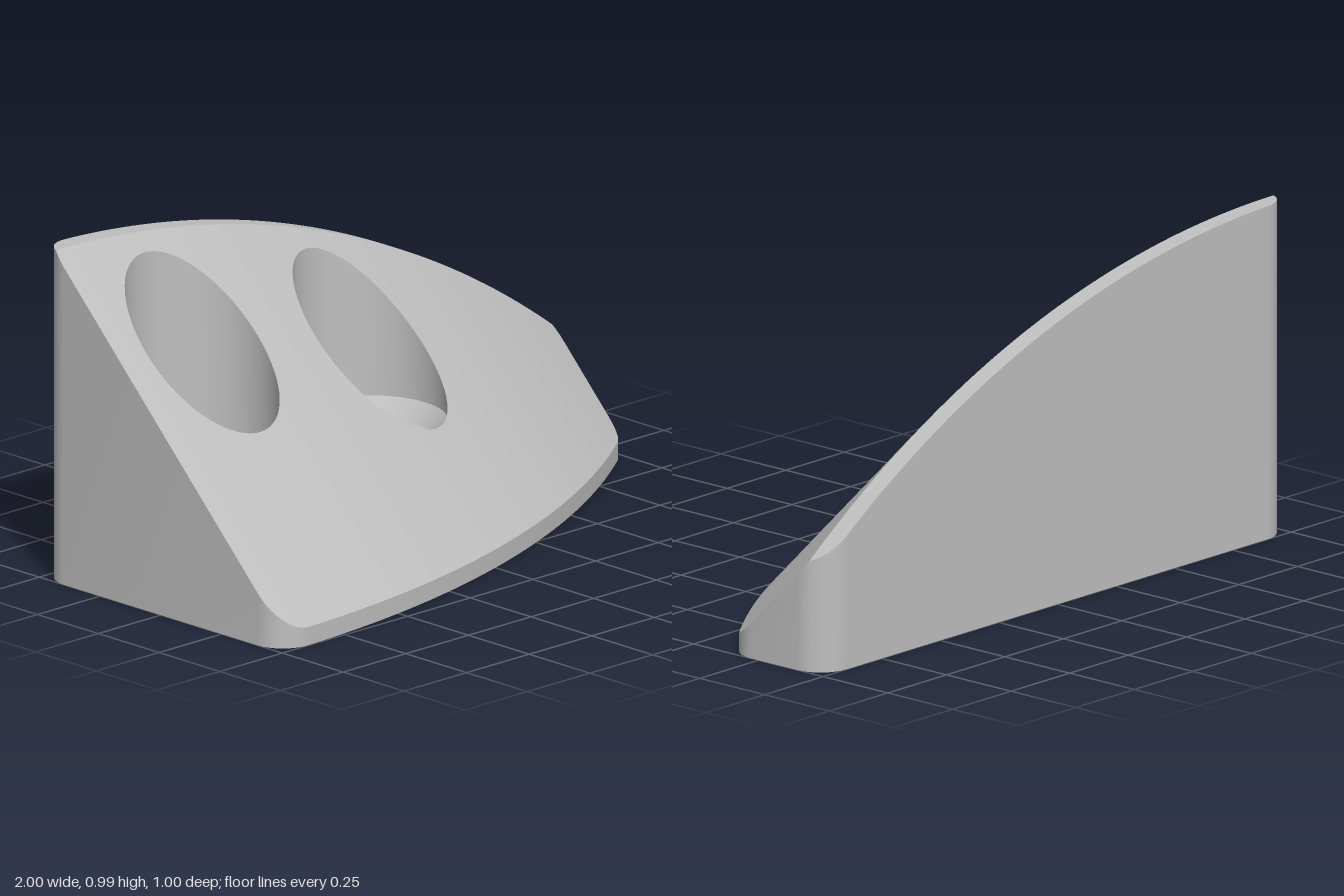
import * as THREE from 'three';
import { toCreasedNormals } from 'three/addons/utils/BufferGeometryUtils.js';

const R = 3.32;              // radius of the curved front edge
const CREASE = -0.44;        // where the slope meets the flat top strip
const WALL = 0.06, LIP = 0.055, ROOF_GAP = 0.085;
const HOLES = [-0.67, 0], HOLE_Z = -0.17;
const POCKET = 0.222, SLEEVE = 0.25;

// Front edge, sloped top and cavity roof as functions of position
const frontEdge = x => 0.5 - R + Math.sqrt(R * R - (x + 1) ** 2);
const topY = (x, z) => LIP + frontEdge(x) - Math.max(z, CREASE);
const roofY = (x, z) => LIP + frontEdge(x) - z - ROOF_GAP;

// Rounded footprint, inset by t, sampled in columns along x
function footprint(t, holeRadius) {
  const half = 1 - t, r = 0.1 - t, c = half - r, rad = R - t;
  const cz = x => 0.5 - R + Math.sqrt((rad - r) ** 2 - (x + 1) ** 2);
  const tangent = x => x + r * (x + 1) / (rad - r);
  const corner = x => Math.sqrt(Math.max(0, r * r - (Math.abs(x) - c) ** 2));
  const back = x => -0.4 - (Math.abs(x) > c ? corner(x) : r);
  const front = x => {
    if (x > tangent(c)) return cz(c) + corner(x);
    if (x < tangent(-c)) return cz(-c) + corner(x);
    return 0.5 - R + Math.sqrt(rad * rad - (x + 1) ** 2);
  };
  let xs = [tangent(c), tangent(-c)];
  for (let k = 0; k <= 10; k++) {
    const x = c + r * Math.sin(k * Math.PI / 20);
    xs.push(x, -x);
  }
  for (let k = 1; k < 40; k++) xs.push(-c + 2 * c * k / 40);
  for (const h of HOLES)
    for (let k = 0; k <= 32; k++) xs.push(h + holeRadius * Math.cos(k * Math.PI / 32));
  xs = xs.sort((a, b) => a - b).filter((x, i, a) => i === 0 || x - a[i - 1] > 1e-6);
  const contour = [
    ...xs.map(x => [x, front(x)]),
    ...xs.slice().reverse().map(x => [x, back(x)])
  ];
  return { xs, front, back, contour, holeRadius };
}

// Collects quads into a geometry; flip turns the faces round
function quadGeometry(quads, flip) {
  const pos = [];
  for (const [a, b, c, d] of quads)
    pos.push(...(flip ? [a, c, b, a, d, c] : [a, b, c, a, c, d]).flat());
  const g = new THREE.BufferGeometry();
  g.setAttribute('position', new THREE.Float32BufferAttribute(pos, 3));
  g.computeVertexNormals();
  return toCreasedNormals(g, 0.5);
}

// Vertical walls round a footprint, up to a height rule
function wallGeometry(fp, height, flip) {
  const quads = fp.contour.map(([x, z], i) => {
    const [u, w] = fp.contour[(i + 1) % fp.contour.length];
    return [[x, 0, z], [u, 0, w], [u, height(u, w), w], [x, height(x, z), z]];
  });
  return quadGeometry(quads, flip);
}

// Covering surface over a footprint, leaving the round holes open
function coverGeometry(fp, height, flip) {
  const quads = [];
  const crease = x => Math.max(fp.back(x), CREASE);
  for (let i = 0; i < fp.xs.length - 1; i++) {
    const x0 = fp.xs[i], x1 = fp.xs[i + 1], mid = (x0 + x1) / 2;
    const strip = (lo, hi) => quads.push(
      [[x0, lo], [x0, hi], [x1, hi], [x1, lo]].map(([x, f]) => [x, height(x, f(x)), f(x)]));
    strip(fp.back, crease);
    const hole = HOLES.find(h => Math.abs(mid - h) < fp.holeRadius);
    if (hole === undefined) { strip(crease, fp.front); continue; }
    const chord = x => Math.sqrt(Math.max(0, fp.holeRadius ** 2 - (x - hole) ** 2));
    strip(crease, x => HOLE_Z - chord(x));
    strip(x => HOLE_Z + chord(x), fp.front);
  }
  return quadGeometry(quads, flip);
}

// Flat bottom rim between the outer and inner footprints
function rimGeometry(outer, inner) {
  const points = fp => fp.contour.map(([x, z]) => new THREE.Vector2(x, z));
  const shape = new THREE.Shape(points(outer));
  shape.holes.push(new THREE.Path(points(inner)));
  return new THREE.ShapeGeometry(shape).rotateX(Math.PI / 2);
}

// Screw pocket, seat, bore and boss in one turned profile trimmed to the slope
function bossGeometry(cx) {
  const TOP = 2, ROOF = 3;
  const profile = [
    [POCKET, TOP], [POCKET, 0.33], [0.172, 0.28], [0.112, 0.28], [0.112, LIP],
    [0.172, LIP], [0.172, 0.22], [SLEEVE, 0.22], [SLEEVE, ROOF]
  ].map(p => new THREE.Vector2(...p));
  const g = new THREE.LatheGeometry(profile, 64).translate(cx, 0, HOLE_Z);
  const p = g.attributes.position;
  for (let i = 0; i < p.count; i++) {
    const x = p.getX(i), z = p.getZ(i), y = p.getY(i);
    if (y > 2.5) p.setY(i, Math.max(0.22, roofY(x, z)));
    else if (y > 1.5) p.setY(i, topY(x, z));
  }
  return toCreasedNormals(g, 0.5);
}

// Rib from u0 to u1 under the roof, notched where it meets a pocket
function ribGeometry(u0, u1, notch0, notch1, top) {
  const pts = [[u0, LIP], [u1, LIP]];
  const a = notch0 ? u0 + 0.075 : u0, b = notch1 ? u1 - 0.075 : u1;
  if (notch1) pts.push([u1, 0.225], [b, 0.225]);
  for (let k = 0; k <= 16; k++) {
    const u = b + (a - b) * k / 16;
    pts.push([u, top(u) + 0.02]);
  }
  if (notch0) pts.push([a, 0.225], [u0, 0.225]);
  const shape = new THREE.Shape(pts.map(p => new THREE.Vector2(...p)));
  return new THREE.ExtrudeGeometry(shape, { depth: 0.04, bevelEnabled: false }).translate(0, 0, -0.02);
}

export function createModel() {
  const group = new THREE.Group();
  const grey = new THREE.MeshStandardMaterial({ color: 0xbfbfbf, side: THREE.DoubleSide });
  grey.name = 'grey';
  const add = (name, geometry) => {
    const mesh = new THREE.Mesh(geometry, grey);
    mesh.name = name;
    group.add(mesh);
    return mesh;
  };

  // Outer shell and hollow underside
  const outer = footprint(0, POCKET), inner = footprint(WALL, SLEEVE);
  add('outerWall', wallGeometry(outer, topY, false));
  add('slopedTop', coverGeometry(outer, topY, false));
  add('innerWall', wallGeometry(inner, roofY, true));
  add('cavityRoof', coverGeometry(inner, roofY, true));
  add('bottomRim', rimGeometry(outer, inner));

  // Screw bosses, each with a rib to the front
  for (const x of HOLES) {
    add('screwBoss', bossGeometry(x));
    const rib = ribGeometry(HOLE_Z + 0.165, frontEdge(x) - 0.07, true, false, z => roofY(x, z));
    add('frontRib', rib.rotateY(-Math.PI / 2)).position.x = x;
  }

  // Long rib running through the bosses
  const along = x => roofY(x, HOLE_Z);
  const spans = [
    [-0.95, HOLES[0] - 0.165, false, true],
    [HOLES[0] + 0.165, HOLES[1] - 0.165, true, true],
    [HOLES[1] + 0.165, 0.9, true, false]
  ];
  for (const s of spans) add('longRib', ribGeometry(...s, along)).position.z = HOLE_Z;

  return group;
}
